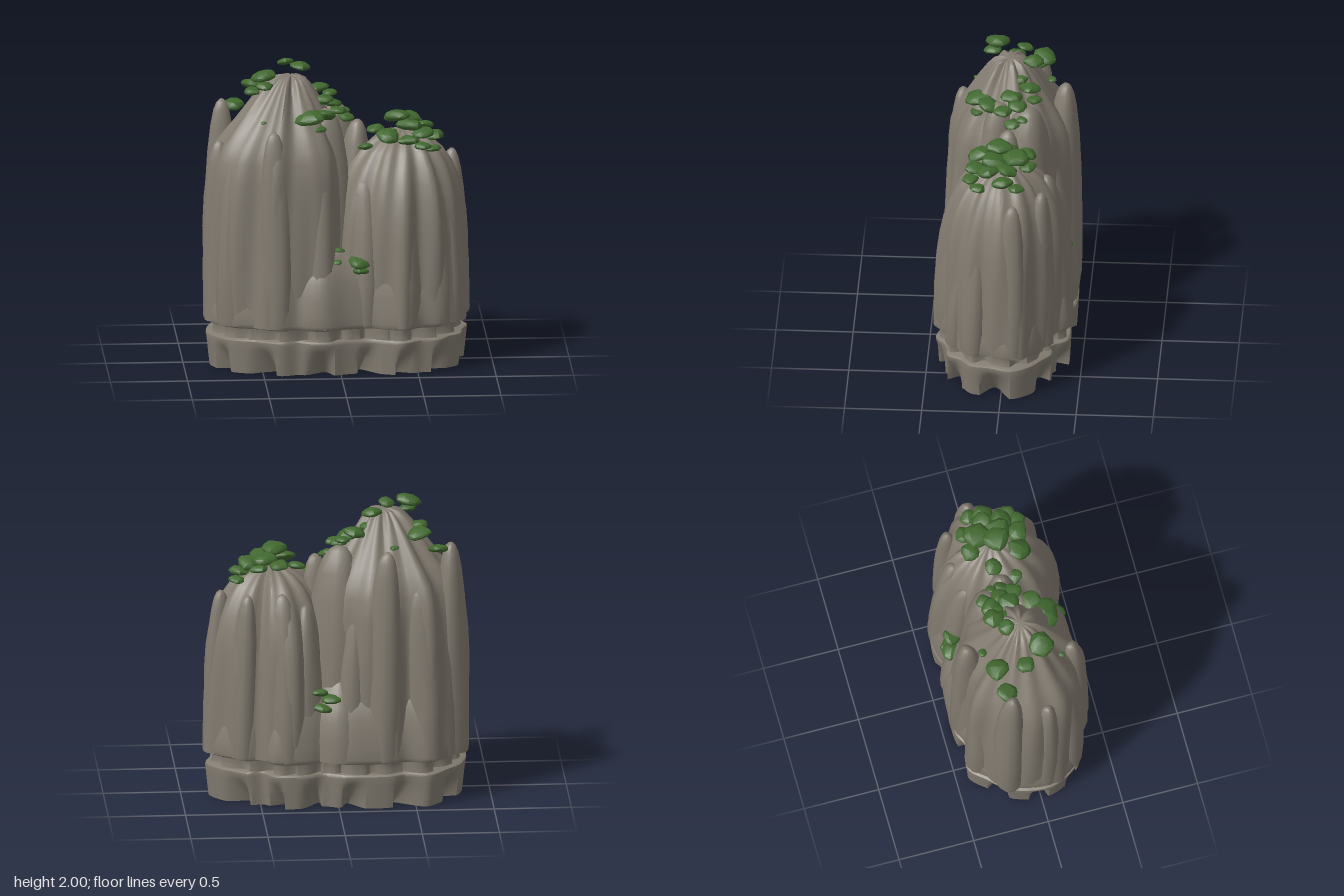
import * as THREE from 'three';
import { mergeVertices, toCreasedNormals } from 'three/addons/utils/BufferGeometryUtils.js';

const rock = new THREE.MeshStandardMaterial({ color: 0x827b70 });
rock.name = 'limestone';
const leaf = new THREE.MeshStandardMaterial({ color: 0x41682f });
leaf.name = 'foliage green';

// Closed smooth outline through [x, z] points, evenly spaced
function outline(points, n) {
  const curve = new THREE.CatmullRomCurve3(points.map(([x, z]) => new THREE.Vector3(x, 0, z)), true);
  return curve.getSpacedPoints(n).slice(0, n).map(p => [p.x, p.z]);
}

// Skins a stack of rings (arrays of Vector3, bottom to top) and caps both ends
function skin(name, rings, crease = 0.7) {
  const n = rings[0].length, pos = [], idx = [];
  rings.flat().forEach(p => pos.push(p.x, p.y, p.z));
  for (let j = 0; j < rings.length - 1; j++) {
    for (let i = 0; i < n; i++) {
      const a = j * n + i, b = j * n + (i + 1) % n;
      idx.push(a, a + n, b, b, a + n, b + n);
    }
  }
  [rings[0], rings.at(-1)].forEach((ring, end) => {
    const c = ring.reduce((s, p) => s.add(p), new THREE.Vector3()).divideScalar(n);
    const at = pos.length / 3, first = end ? (rings.length - 1) * n : 0;
    pos.push(c.x, c.y, c.z);
    for (let i = 0; i < n; i++) {
      const a = first + i, b = first + (i + 1) % n;
      end ? idx.push(at, b, a) : idx.push(at, a, b);
    }
  });
  const g = new THREE.BufferGeometry();
  g.setAttribute('position', new THREE.Float32BufferAttribute(pos, 3));
  g.setIndex(idx);
  const mesh = new THREE.Mesh(toCreasedNormals(g, crease), rock);
  mesh.name = name;
  return mesh;
}

// Scales an outline about a centre at each [y, scale] level; rule(t, y) pushes points inwards
function loft(name, shape, [cx, cz], levels, rule = () => 0) {
  return skin(name, levels.map(([y, s]) => shape.map(([x, z], i) => {
    const dx = x - cx, dz = z - cz, k = s - rule(i / shape.length, y) / Math.hypot(dx, dz);
    return new THREE.Vector3(cx + dx * k, y, cz + dz * k);
  })));
}

// Fluted column leaning from its foot to a rounded tip
function rib(x, z, r, tx, tz, top) {
  const levels = [[0, 0.97], [0.02, 1], [0.3, 1], [0.55, 0.93], [0.75, 0.8], [0.88, 0.63], [0.95, 0.47], [0.985, 0.3], [1, 0.12]];
  const y0 = 0.31, n = 14;
  return skin('rockRib', levels.map(([t, s]) => {
    const lean = t * t, ring = [];
    for (let i = 0; i < n; i++) {
      const a = i / n * Math.PI * 2;
      const q = r * s * (1 + 0.07 * Math.sin(3 * a + x * 20 + t * 2));
      ring.push(new THREE.Vector3(x + (tx - x) * lean + q * Math.cos(a), y0 + (top - y0) * t,
        z + (tz - z) * lean + q * Math.sin(a)));
    }
    return ring;
  }), 0.9);
}

// Flattened, lumpy clump of leaves
function bush([x, y, z, r], i) {
  let g = new THREE.IcosahedronGeometry(1, 1);
  g.deleteAttribute('normal');
  g.deleteAttribute('uv');
  g = mergeVertices(g);
  const p = g.attributes.position;
  for (let k = 0; k < p.count; k++) {
    const v = new THREE.Vector3().fromBufferAttribute(p, k);
    v.multiplyScalar(1 + 0.13 * Math.sin(v.x * 4 + i * 1.7) * Math.cos(v.z * 3 + i));
    p.setXYZ(k, v.x, v.y < 0 ? v.y * 0.75 : v.y, v.z);
  }
  const m = new THREE.Mesh(toCreasedNormals(g, 0.65), leaf);
  m.name = 'bush';
  m.position.set(x, y, z);
  m.scale.set(r, r * 0.47, r * 0.95);
  m.rotation.set(0.2 * Math.sin(i * 2.3), i * 1.3, 0.2 * Math.cos(i * 1.9));
  return m;
}

export function createModel() {
  const model = new THREE.Group();
  model.name = 'rockIsland';

  // Outlines of the whole island and of its two towers
  const island = outline([
    [-0.87, 0.05], [-0.82, -0.2], [-0.72, -0.32], [-0.6, -0.44], [-0.44, -0.41], [-0.35, -0.45], [-0.2, -0.46],
    [-0.05, -0.45], [0.1, -0.39], [0.18, -0.42], [0.3, -0.44], [0.42, -0.42], [0.5, -0.32], [0.6, -0.33],
    [0.7, -0.26], [0.78, -0.2], [0.86, -0.07], [0.82, 0.08], [0.8, 0.2], [0.72, 0.27], [0.66, 0.36], [0.53, 0.38],
    [0.42, 0.45], [0.3, 0.42], [0.2, 0.38], [0.05, 0.4], [-0.1, 0.455], [-0.2, 0.44], [-0.28, 0.4], [-0.4, 0.43],
    [-0.55, 0.36], [-0.7, 0.31], [-0.8, 0.22]], 168);
  const tall = outline([
    [-0.865, 0.05], [-0.82, -0.2], [-0.72, -0.31], [-0.6, -0.42], [-0.45, -0.38], [-0.35, -0.43], [-0.2, -0.4],
    [-0.06, -0.35], [0.06, -0.22], [0.1, 0], [0.02, 0.2], [-0.05, 0.32], [-0.13, 0.4], [-0.23, 0.37], [-0.3, 0.38],
    [-0.41, 0.42], [-0.55, 0.36], [-0.7, 0.3], [-0.8, 0.21]], 96);
  const low = outline([
    [0.86, -0.07], [0.82, 0.08], [0.8, 0.2], [0.72, 0.27], [0.66, 0.35], [0.53, 0.37], [0.42, 0.44], [0.3, 0.41],
    [0.2, 0.36], [0.08, 0.32], [0, 0.2], [-0.03, 0], [0.08, -0.24], [0.18, -0.37], [0.3, -0.43], [0.42, -0.4],
    [0.5, -0.32], [0.6, -0.32], [0.7, -0.26], [0.78, -0.2]], 96);

  // Undercut base: lobed foot, recessed neck and overhanging skirt
  const wave = (t, k) => Math.max(0, Math.sin(t * Math.PI * 2 * k + 1.2 * Math.sin(t * 19)));
  model.add(
    loft('lobedFoot', island, [0, 0],
      [[0, 0.955], [0.04, 0.96], [0.08, 0.965], [0.12, 0.97], [0.16, 0.975], [0.2, 0.98], [0.215, 0.978], [0.225, 0.955]],
      (t, y) => 0.12 * wave(t, 14) * Math.max(0, 1 - y / 0.19)),
    loft('recessedNeck', island, [0, 0], [[0.2, 0.945], [0.24, 0.93], [0.28, 0.93], [0.32, 0.945]],
      t => 0.045 * wave(t, 21)),
    loft('overhangSkirt', island, [0, 0],
      [[0.3, 0.975], [0.31, 0.995], [0.33, 1], [0.4, 0.99], [0.5, 0.965], [0.6, 0.92], [0.7, 0.84], [0.78, 0.7]]));

  // Two towers with faceted summits
  const flute = (t, y) => 0.012 * Math.sin(t * 82 + y * 1.5) + 0.01 * Math.sin(t * 44 - y * 3);
  model.add(
    loft('tallTower', tall, [-0.3, 0],
      [[0.31, 0.99], [0.6, 0.99], [0.9, 0.985], [1.1, 0.965], [1.25, 0.94], [1.38, 0.9], [1.47, 0.83], [1.56, 0.71],
        [1.65, 0.58], [1.75, 0.44], [1.84, 0.3], [1.89, 0.2], [1.905, 0.1]], flute),
    loft('lowTower', low, [0.42, 0],
      [[0.31, 0.99], [0.6, 0.985], [0.85, 0.965], [1, 0.935], [1.12, 0.89], [1.23, 0.82], [1.33, 0.72], [1.42, 0.58],
        [1.48, 0.42], [1.52, 0.25], [1.535, 0.1]], flute));

  // Rounded aprons at the foot of the cleft, front and back
  [[-0.11, 0.23, 0.25, 0.225, 0.83], [-0.02, -0.24, 0.27, 0.215, 0.88]].forEach(([x, z, rx, rz, top]) => {
    const shape = outline([[x + rx, z], [x, z + rz], [x - rx, z], [x, z - rz]], 32);
    model.add(loft('cleftApron', shape, [x, z],
      [[0.31, 1], [0.45, 0.98], [0.57, 0.9], [0.67, 0.76], [0.75, 0.56], [top - 0.03, 0.32], [top, 0.08]]));
  });

  // Columns around the cliffs: foot x, z, radius, tip x, z, height
  [
    [-0.41, 0.32, 0.11, -0.43, 0.31, 1.6], [-0.13, 0.3, 0.11, -0.14, 0.22, 1.55], [-0.68, 0.21, 0.11, -0.66, 0.17, 1.5],
    [-0.77, 0.05, 0.1, -0.77, 0.06, 1.49], [-0.74, -0.19, 0.11, -0.74, -0.17, 1.71], [-0.58, -0.32, 0.115, -0.53, -0.32, 1.46],
    [-0.3, -0.34, 0.12, -0.32, -0.36, 1.71], [-0.1, -0.3, 0.11, -0.13, -0.22, 1.42]
  ].forEach(a => model.add(rib(...a)));
  [
    [0.42, 0.33, 0.11, 0.41, 0.27, 1.2], [0.62, 0.28, 0.09, 0.6, 0.21, 1.1], [0.73, 0.18, 0.09, 0.67, 0.15, 1.24],
    [0.765, -0.07, 0.095, 0.745, -0.07, 1.385], [0.6, -0.24, 0.09, 0.58, -0.25, 1.4], [0.33, -0.33, 0.11, 0.36, -0.27, 1.41],
    [0.2, -0.3, 0.1, 0.21, -0.23, 1.32], [0.17, 0.27, 0.11, 0.16, 0.21, 1.28],
    [0, -0.12, 0.2, -0.02, -0.13, 1.69], [0.1, 0.0, 0.13, 0.13, -0.01, 1.6], [-0.07, 0.07, 0.17, -0.08, 0.06, 1.69]
  ].forEach(a => model.add(rib(...a)));

  // Bushes: x, y, z, radius
  const summit = [
    [-0.48, 1.92, 0.09, 0.085], [-0.48, 1.86, 0.12, 0.06], [-0.33, 1.968, -0.1, 0.055], [-0.23, 1.92, -0.16, 0.07],
    [-0.55, 1.79, -0.03, 0.06], [-0.53, 1.79, -0.21, 0.08], [-0.66, 1.67, -0.18, 0.068], [-0.37, 1.71, -0.27, 0.03],
    [-0.49, 1.645, 0.23, 0.02]];
  const ridge = [
    [-0.22, 1.79, -0.05, 0.08], [-0.12, 1.78, -0.14, 0.075], [-0.09, 1.73, -0.02, 0.075], [-0.19, 1.66, 0.19, 0.105],
    [-0.09, 1.66, 0.12, 0.08], [-0.14, 1.59, 0.2, 0.055], [-0.03, 1.7, -0.06, 0.065], [0, 1.67, 0.03, 0.06],
    [0.06, 1.61, -0.03, 0.055], [-0.04, 1.74, -0.17, 0.05], [0.05, 1.64, -0.1, 0.045], [0.14, 1.46, 0.02, 0.045],
    [0.18, 1.44, 0.09, 0.055], [0.25, 1.53, -0.03, 0.06]];
  const hill = [
    [0.39, 1.63, 0.03, 0.085], [0.37, 1.57, -0.15, 0.065], [0.46, 1.59, -0.08, 0.09], [0.5, 1.55, -0.16, 0.06],
    [0.47, 1.57, 0.06, 0.09], [0.32, 1.53, 0.17, 0.08], [0.45, 1.5, 0.18, 0.075], [0.55, 1.53, 0.1, 0.075],
    [0.62, 1.49, 0, 0.075], [0.61, 1.44, 0.16, 0.055], [0.64, 1.46, -0.09, 0.055], [0.54, 1.47, 0.21, 0.055],
    [0.56, 1.55, -0.03, 0.07]];
  const ledges = [
    [0.12, 0.73, 0.35, 0.075], [0.13, 0.68, 0.36, 0.055], [0, 0.8, 0.28, 0.035], [-0.02, 0.735, 0.34, 0.03],
    [0.05, 0.72, -0.36, 0.07], [0.1, 0.66, -0.36, 0.065], [0.12, 0.76, -0.34, 0.06]];
  [...summit, ...ridge, ...hill, ...ledges].forEach((b, i) => model.add(bush(b, i)));
  return model;
}
